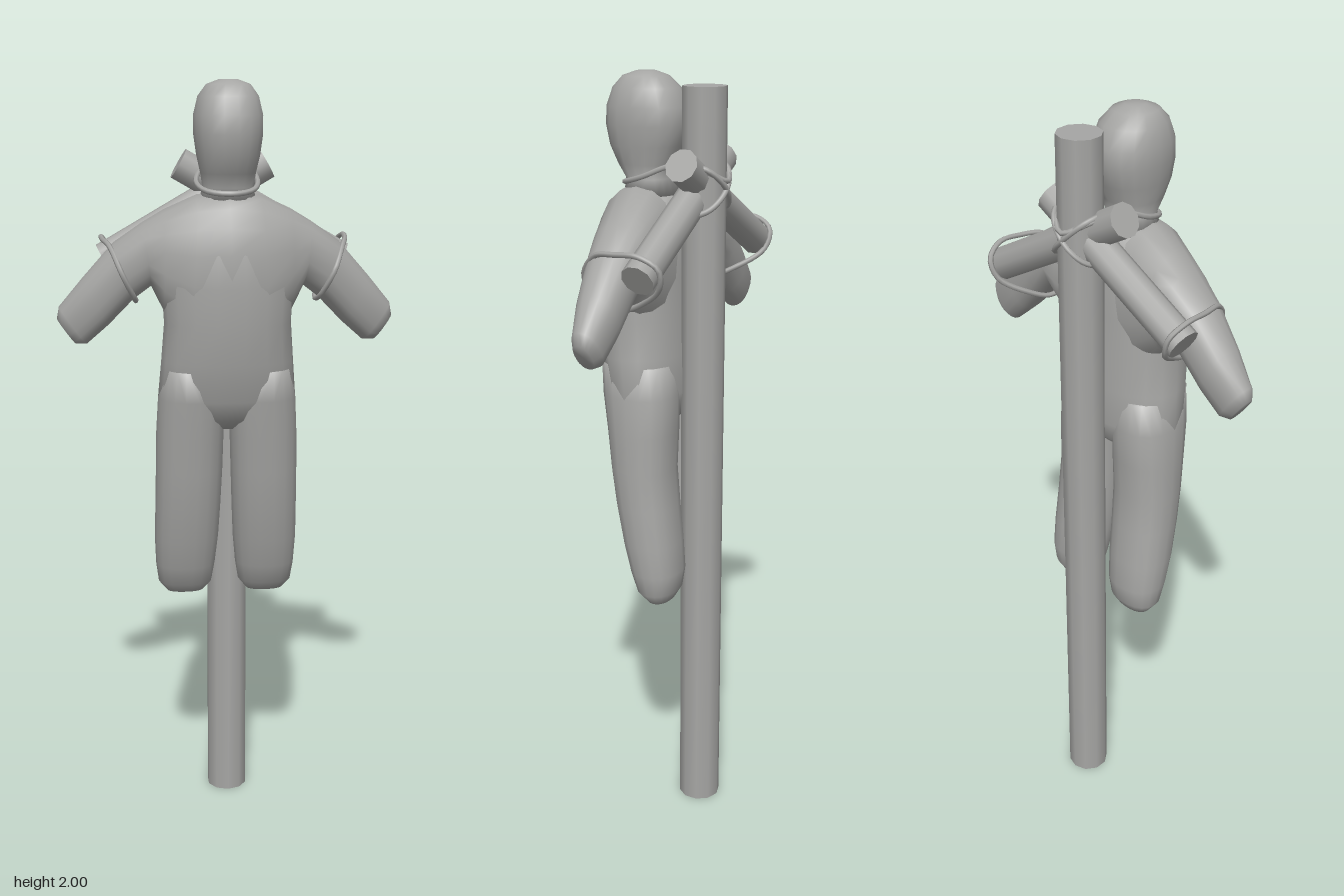
import * as THREE from 'three';

const SIDES = 18;

// Closed smooth skin through oval sections.
// Each row: two opposite points of the oval in x/y, then its z range.
function loft(rows) {
  const pos = [], idx = [], n = rows.length;
  for (const [x0, y0, x1, y1, z0, z1] of rows) {
    for (let i = 0; i < SIDES; i++) {
      const a = (i / SIDES) * Math.PI * 2;
      const soft = (v) => Math.sign(v) * Math.pow(Math.abs(v), 0.88);
      const c = soft(Math.cos(a)), s = soft(Math.sin(a));
      pos.push((x0 + x1) / 2 + (c * (x0 - x1)) / 2, (y0 + y1) / 2 + (c * (y0 - y1)) / 2, (z0 + z1) / 2 + (s * (z1 - z0)) / 2);
    }
  }
  for (const [x0, y0, x1, y1, z0, z1] of [rows[0], rows[n - 1]]) pos.push((x0 + x1) / 2, (y0 + y1) / 2, (z0 + z1) / 2);
  for (let i = 0; i < SIDES; i++) {
    const j = (i + 1) % SIDES, e = (n - 1) * SIDES;
    for (let r = 0; r < n - 1; r++) {
      const a = r * SIDES + i, b = r * SIDES + j;
      idx.push(a, b, a + SIDES, b, b + SIDES, a + SIDES);
    }
    idx.push(n * SIDES, j, i, n * SIDES + 1, e + i, e + j);
  }
  // Turn the faces outward
  const p = (k) => new THREE.Vector3().fromArray(pos, k * 3);
  let volume = 0;
  for (let k = 0; k < idx.length; k += 3) volume += p(idx[k]).dot(p(idx[k + 1]).cross(p(idx[k + 2])));
  if (volume < 0) idx.reverse();
  const g = new THREE.BufferGeometry();
  g.setAttribute('position', new THREE.Float32BufferAttribute(pos, 3));
  g.setIndex(idx);
  g.computeVertexNormals();
  return g;
}

function ropeLoop(points, radius = 0.007) {
  const curve = new THREE.CatmullRomCurve3(points.map((q) => new THREE.Vector3(...q)), true);
  return new THREE.TubeGeometry(curve, 40, radius, 6, true);
}

export function createModel() {
  const model = new THREE.Group();
  const grey = new THREE.MeshStandardMaterial({ color: 0xa6a6a4 });
  grey.name = 'plain grey';
  const add = (name, geometry) => {
    const mesh = new THREE.Mesh(geometry, grey);
    mesh.name = name;
    model.add(mesh);
    return mesh;
  };

  // Upright post
  add('post', new THREE.CylinderGeometry(0.056, 0.056, 1.97, 10)).position.set(0.012, 0.985, -0.106);

  // Two poles crossing behind the neck
  for (const s of [1, -1]) {
    const top = new THREE.Vector3(-0.115 * s, 1.79, s > 0 ? -0.088 : -0.097);
    const low = new THREE.Vector3(0.312 * s, 1.545, top.z);
    const pole = add(s > 0 ? 'leftPole' : 'rightPole', new THREE.CylinderGeometry(0.043, 0.043, top.distanceTo(low), 10));
    pole.position.copy(top).add(low).multiplyScalar(0.5);
    pole.quaternion.setFromUnitVectors(new THREE.Vector3(0, 1, 0), top.sub(low).normalize());
  }

  // Head: half width, height, back, front
  const head = [
    [0.025, 1.999, 0.04, 0.09], [0.055, 1.988, 0.01, 0.122], [0.076, 1.96, -0.022, 0.148],
    [0.087, 1.915, -0.043, 0.165], [0.087, 1.87, -0.044, 0.167], [0.08, 1.82, -0.03, 0.157],
    [0.07, 1.775, -0.01, 0.135], [0.064, 1.74, -0.005, 0.112], [0.075, 1.7, -0.02, 0.115],
  ];
  add('head', loft(head.map(([w, y, b, f]) => [-w, y, w, y, b, f])));

  // Shoulders and arms, lofted from hand to hand
  const arm = [
    [0.08, 1.722, 0.1, 1.36, -0.055, 0.163], [0.16, 1.685, 0.165, 1.43, -0.057, 0.125],
    [0.215, 1.652, 0.195, 1.49, -0.057, 0.103], [0.29, 1.6, 0.24, 1.455, -0.055, 0.082],
    [0.37, 1.51, 0.305, 1.388, -0.05, 0.062], [0.432, 1.436, 0.362, 1.338, -0.038, 0.036],
    [0.438, 1.405, 0.39, 1.338, -0.024, 0.024],
  ];
  const mirror = ([x0, y0, x1, y1, b, f]) => [-x0, y0, -x1, y1, b, f];
  add('shouldersAndArms', loft([...arm.map(mirror).reverse(), [0, 1.732, 0, 1.35, -0.05, 0.172], ...arm]));

  // Torso: half width, height, back, front
  const torso = [
    [0.07, 1.7, -0.025, 0.115], [0.125, 1.65, -0.045, 0.15], [0.158, 1.58, -0.055, 0.169],
    [0.17, 1.5, -0.058, 0.173], [0.164, 1.4, -0.062, 0.168], [0.172, 1.3, -0.068, 0.155],
    [0.181, 1.2, -0.07, 0.13], [0.15, 1.145, -0.055, 0.1], [0.08, 1.115, -0.025, 0.06],
  ];
  add('torso', loft(torso.map(([w, y, b, f]) => [-w, y, w, y, b, f])));

  // Legs: inner x, outer x, height, back, front
  const leg = [
    [0.03, 0.165, 1.28, -0.055, 0.135], [0.008, 0.181, 1.2, -0.07, 0.128], [0.008, 0.187, 1.1, -0.068, 0.112],
    [0.011, 0.189, 1.0, -0.064, 0.1], [0.015, 0.191, 0.9, -0.074, 0.084], [0.02, 0.193, 0.8, -0.086, 0.062],
    [0.028, 0.19, 0.72, -0.094, 0.04], [0.037, 0.183, 0.665, -0.086, 0.018], [0.06, 0.16, 0.635, -0.068, -0.012],
  ];
  for (const s of [1, -1])
    add(s > 0 ? 'leftLeg' : 'rightLeg', loft(leg.map(([i, o, y, b, f]) => [i * s, y, o * s, y, b, f])));

  // Rope round the neck and post
  add('neckRope', ropeLoop([
    [0, 1.727, 0.118], [0.055, 1.732, 0.095], [0.078, 1.75, 0.035], [0.066, 1.782, -0.05], [0.064, 1.775, -0.13],
    [0.012, 1.745, -0.17], [-0.045, 1.775, -0.13], [-0.058, 1.782, -0.05], [-0.078, 1.75, 0.035], [-0.055, 1.732, 0.095],
  ]));

  // Crossed lashings holding the poles to the post
  for (const s of [1, -1]) {
    const ring = [];
    for (let i = 0; i < 10; i++) {
      const a = (i / 10) * Math.PI * 2;
      ring.push([0.012 + Math.cos(a) * 0.062, 1.725 + s * Math.cos(a) * 0.06, -0.108 + Math.sin(a) * 0.06]);
    }
    add('crossLashing', ropeLoop(ring));
  }

  // Ropes tying each arm to its pole
  const tie = [
    [0.315, 1.602, -0.03], [0.297, 1.59, 0.04], [0.27, 1.53, 0.086], [0.24, 1.465, 0.055], [0.234, 1.45, 0],
    [0.25, 1.475, -0.065], [0.287, 1.525, -0.133], [0.305, 1.575, -0.14], [0.318, 1.603, -0.095],
  ];
  for (const s of [1, -1])
    add(s > 0 ? 'leftArmRope' : 'rightArmRope', ropeLoop(tie.map(([x, y, z]) => [x * s, y, z])));

  return model;
}
